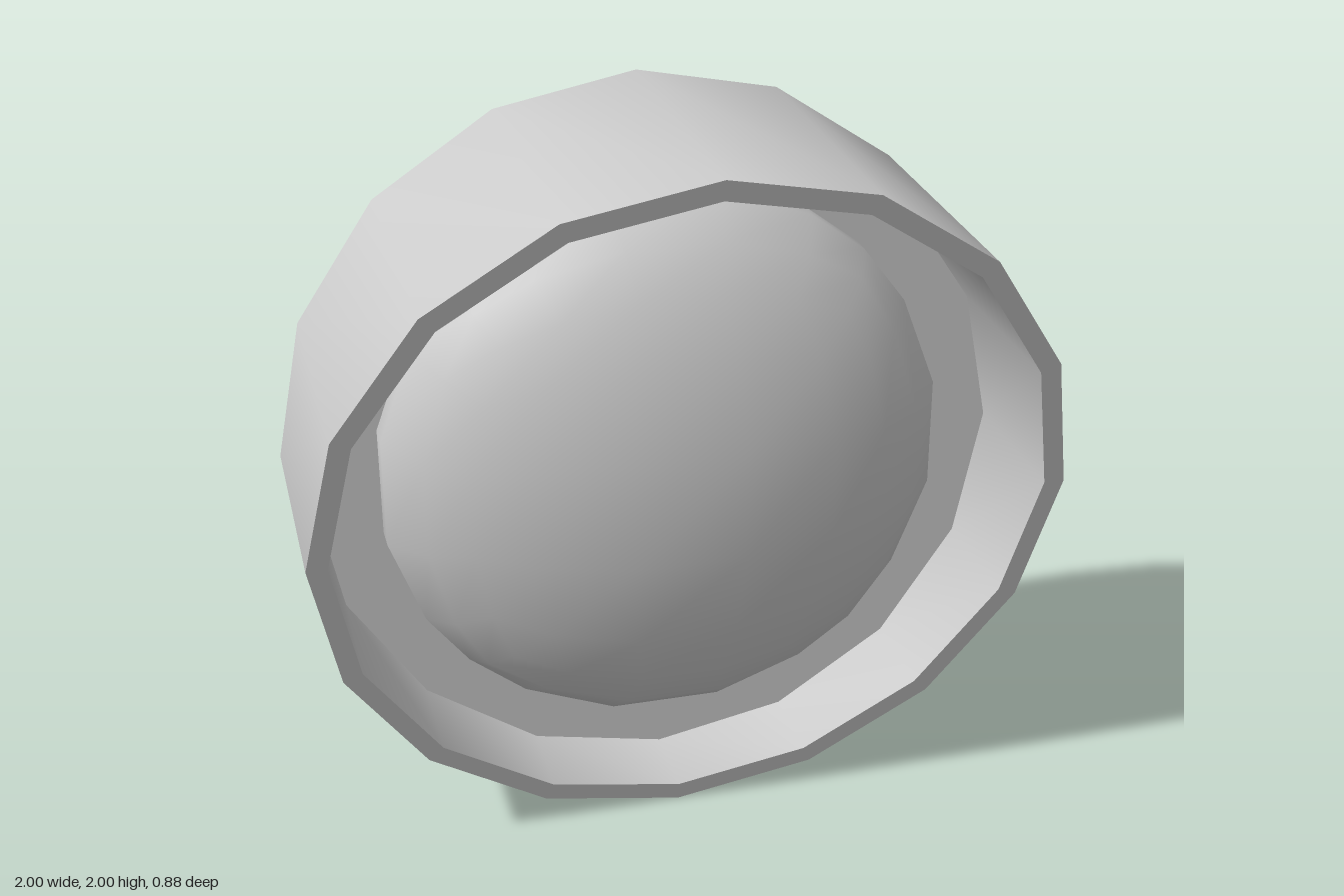
import * as THREE from 'three';
import { toCreasedNormals } from 'three/addons/utils/BufferGeometryUtils.js';

const BACK = -0.44, FLOOR = -0.22, SLOPE = 0.22;

// Sixteen-sided cup turned towards +z, its rim cut on a slant
function cupGeometry() {
  const profile = [[0, BACK], [1, BACK], [1, 0], [0.945, 0], [0.945, FLOOR], [0, FLOOR]]
    .map(([r, z]) => new THREE.Vector2(r, z));
  const geo = new THREE.LatheGeometry(profile, 16).rotateX(Math.PI / 2).translate(0, 1, 0);
  const p = geo.attributes.position;
  for (let i = 0; i < p.count; i++) {
    if (p.getZ(i) > FLOOR / 2) p.setZ(i, SLOPE * p.getY(i));
  }
  geo.deleteAttribute('normal');
  return toCreasedNormals(geo, 0.7);
}

// Flattened ball made from a subdivided cube, keeping only its front half
function domeGeometry(radius, depth) {
  const geo = new THREE.BoxGeometry(2, 2, 2, 5, 5, 5);
  const p = geo.attributes.position, n = geo.attributes.normal;
  const v = new THREE.Vector3();
  for (let i = 0; i < p.count; i++) {
    v.fromBufferAttribute(p, i).normalize();
    p.setXYZ(i, v.x * radius, v.y * radius, v.z * depth);
    v.set(v.x / radius, v.y / radius, v.z / depth).normalize();
    n.setXYZ(i, v.x, v.y, v.z);
  }
  const old = geo.index.array, kept = [];
  for (let i = 0; i < old.length; i += 3) {
    const tri = [old[i], old[i + 1], old[i + 2]];
    if (tri.some((k) => p.getZ(k) > 0)) kept.push(...tri);
  }
  geo.setIndex(kept);
  geo.clearGroups();
  return geo;
}

export function createModel() {
  const group = new THREE.Group();
  const material = new THREE.MeshStandardMaterial({ color: 0xcccccc });

  const housing = new THREE.Mesh(cupGeometry(), material);
  housing.name = 'housing';

  const dome = new THREE.Mesh(domeGeometry(0.788, 0.39), material);
  dome.name = 'dome';
  dome.position.set(0, 1, FLOOR);

  group.add(housing, dome);
  return group;
}
